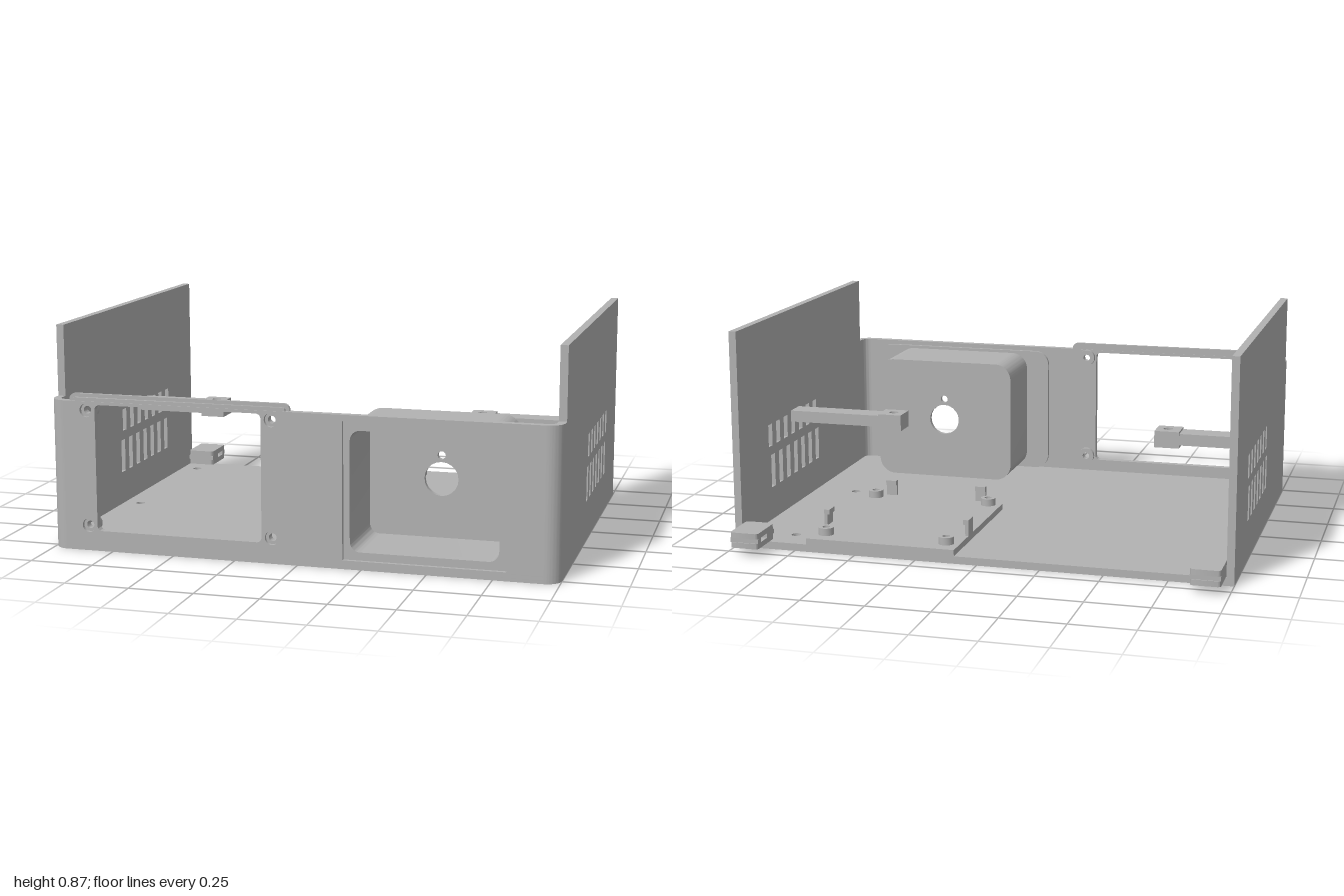
import * as THREE from 'three';
import { toCreasedNormals } from 'three/addons/utils/BufferGeometryUtils.js';

const grey = new THREE.MeshStandardMaterial({ color: 0xb2b2b2 });
grey.name = 'grey plastic';

// Rounded rectangle; r is one radius or [bottomLeft, bottomRight, topRight, topLeft]
function rect(x0, y0, x1, y1, r = 0) {
  const [a, b, c, d] = Array.isArray(r) ? r : [r, r, r, r];
  const s = new THREE.Shape();
  s.moveTo(x0 + a, y0);
  s.lineTo(x1 - b, y0);
  if (b) s.absarc(x1 - b, y0 + b, b, -Math.PI / 2, 0);
  s.lineTo(x1, y1 - c);
  if (c) s.absarc(x1 - c, y1 - c, c, 0, Math.PI / 2);
  s.lineTo(x0 + d, y1);
  if (d) s.absarc(x0 + d, y1 - d, d, Math.PI / 2, Math.PI);
  s.lineTo(x0, y0 + a);
  if (a) s.absarc(x0 + a, y0 + a, a, Math.PI, Math.PI * 1.5);
  return s;
}

function circle(x, y, r) {
  return new THREE.Shape().absarc(x, y, r, 0, Math.PI * 2);
}

function extrude(shape, holes, depth) {
  shape.holes.push(...holes);
  const g = new THREE.ExtrudeGeometry(shape, { depth, bevelEnabled: false, curveSegments: 10 });
  return toCreasedNormals(g, 0.6);
}

export function createModel() {
  const group = new THREE.Group();
  const add = (name, geometry) => {
    const m = new THREE.Mesh(geometry, grey);
    m.name = name;
    group.add(m);
    return m;
  };
  // Plate facing z: shape in x, y
  const plate = (name, shape, holes, z0, z1) =>
    add(name, extrude(shape, holes, z1 - z0).translate(0, 0, z0));
  // Horizontal slab: shape in x, -z
  const slab = (name, shape, holes, y0, y1) =>
    add(name, extrude(shape, holes, y1 - y0).rotateX(-Math.PI / 2).translate(0, y0, 0));
  // Side panel: shape in -z, y
  const side = (name, shape, holes, x0, x1) =>
    add(name, extrude(shape, holes, x1 - x0).rotateY(Math.PI / 2).translate(x0, 0, 0));

  // Floor with countersunk holes
  const floorHoles = [[-0.9, 0.56], [-0.9, -0.135], [0.79, 0.56], [0.79, -0.135]];
  [[0, 0.015, 0.032], [0.015, 0.03, 0.019]].forEach(([y0, y1, r]) =>
    slab('floor', rect(-1, -0.8, 1, 0.68, [0.06, 0.06, 0, 0]),
      floorHoles.map(([x, y]) => circle(x, y, r)), y0, y1));

  // Side walls with two rows of vents
  for (const x of [-1, 0.97]) {
    const wall = new THREE.Shape([[-0.74, 0.03], [0.68, 0.03], [0.68, 0.87], [-0.71, 0.87],
      [-0.71, 0.59], [-0.74, 0.59]].map(([a, b]) => new THREE.Vector2(a, b)));
    const vents = [];
    for (let i = 0; i < 7; i++) {
      const low = -0.143 + i * 0.082, high = -0.122 + i * 0.082;
      vents.push(rect(low - 0.02, 0.165, low + 0.02, 0.302));
      vents.push(rect(high - 0.02, 0.34, high + 0.02, 0.432));
    }
    side('sideWall', wall, vents, x, x + 0.03);
  }

  // Rounded front corners
  for (const s of [-1, 1]) {
    const c = new THREE.Shape();
    const a0 = s > 0 ? -Math.PI / 2 : Math.PI, a1 = a0 + Math.PI / 2;
    c.absarc(s * 0.94, -0.74, 0.06, a0, a1, false);
    c.absarc(s * 0.94, -0.74, 0.03, a1, a0, true);
    slab('frontCorner', c, [], 0.03, 0.59);
  }

  // Front wall: outer skin with shallow recesses, inner skin with the openings
  const screws = [[-0.845, 0.555], [-0.1, 0.555], [-0.845, 0.1], [-0.1, 0.1]];
  const screenHole = () => rect(-0.81, 0.08, -0.14, 0.578, 0.02);
  const trayHole = () => rect(0.203, 0.065, 0.772, 0.53, 0.04);
  plate('frontWallOuter', rect(-0.94, 0.03, 0.94, 0.59),
    [screenHole(), rect(0.178, 0.034, 0.802, 0.566), ...screws.map(([x, y]) => circle(x, y, 0.027))],
    0.785, 0.8);
  plate('frontWallInner', rect(-0.94, 0.03, 0.94, 0.59),
    [screenHole(), trayHole(), ...screws.map(([x, y]) => circle(x, y, 0.015))], 0.77, 0.785);
  for (const [x, y] of screws)
    plate('screwBoss', circle(x, y, 0.035), [circle(x, y, 0.015)], 0.75, 0.77);

  // Lip over the screen opening
  plate('screenLip', rect(-0.92, 0.585, -0.03, 0.618, [0, 0, 0.025, 0.025]), [], 0.772, 0.785);
  plate('screenLipFront', rect(-0.905, 0.585, -0.045, 0.604, [0, 0, 0.013, 0.013]), [], 0.785, 0.797);

  // Socket tray sunk behind the front wall
  plate('trayFlange', rect(0.08, 0.03, 0.89, 0.572, 0.06), [trayHole()], 0.755, 0.77);
  plate('trayShell', rect(0.18, 0.035, 0.793, 0.56, 0.07), [trayHole()], 0.49, 0.77);
  plate('trayBack', rect(0.18, 0.035, 0.793, 0.56, 0.07),
    [circle(0.487, 0.297, 0.067), circle(0.487, 0.39, 0.016)], 0.47, 0.49);

  // Raised circuit board base with standoffs and clips
  slab('boardBase', rect(0.09, -0.045, 0.7, 0.68, [0.03, 0.03, 0, 0]), [], 0.03, 0.055);
  for (const x of [0.145, 0.645])
    for (const y of [0.6, 0.01])
      slab('standoff', circle(x, y, 0.031), [circle(x, y, 0.015)], 0.055, 0.085);
  for (const [x, z, w, d, tx, tz] of [[0.096, -0.453, 0.014, 0.06, 0.008, 0], [0.691, -0.453, 0.014, 0.06, -0.008, 0],
    [0.19, 0.037, 0.045, 0.014, 0, -0.008], [0.587, 0.037, 0.045, 0.014, 0, -0.008]]) {
    add('boardClip', new THREE.BoxGeometry(w, 0.065, d).translate(x, 0.0875, z));
    add('boardClipHook', new THREE.BoxGeometry(w, 0.02, d).translate(x + tx, 0.11, z + tz));
  }

  // Side arms with a drilled head
  for (const [s, tip] of [[-1, 0.588], [1, 0.48]]) {
    const span = (a, b, z0, z1) => rect(Math.min(s * a, s * b), -z1, Math.max(s * a, s * b), -z0);
    slab('arm', span(0.97, tip + 0.1, -0.146, -0.055), [], 0.395, 0.442);
    slab('armHead', span(tip + 0.1, tip, -0.152, -0.05), [circle(s * (tip + 0.047), 0.1, 0.019)], 0.383, 0.45);
  }

  // Rear feet: drilled base, slotted middle, closed top
  for (const s of [-1, 1]) {
    const x0 = s > 0 ? 0.852 : -0.968, x1 = x0 + 0.116, mid = x0 + 0.058;
    const outline = () => rect(x0, 0.64, x1, 0.805, 0.014);
    slab('rearFootBase', outline(), [circle(mid, 0.74, 0.02)], 0.033, 0.055);
    const inner = s > 0 ? x0 : x1, outer = s > 0 ? x1 : x0;
    const notch = new THREE.Shape([[inner, 0.64], [outer, 0.64], [outer, 0.8], [inner, 0.8],
      [inner, 0.77], [mid + s * 0.03, 0.77], [mid + s * 0.03, 0.71], [inner, 0.71]]
      .map(([a, b]) => new THREE.Vector2(a, b)));
    slab('rearFootSlot', notch, [], 0.055, 0.073);
    slab('rearFootTop', outline(), [], 0.073, 0.095);
  }
  return group;
}
